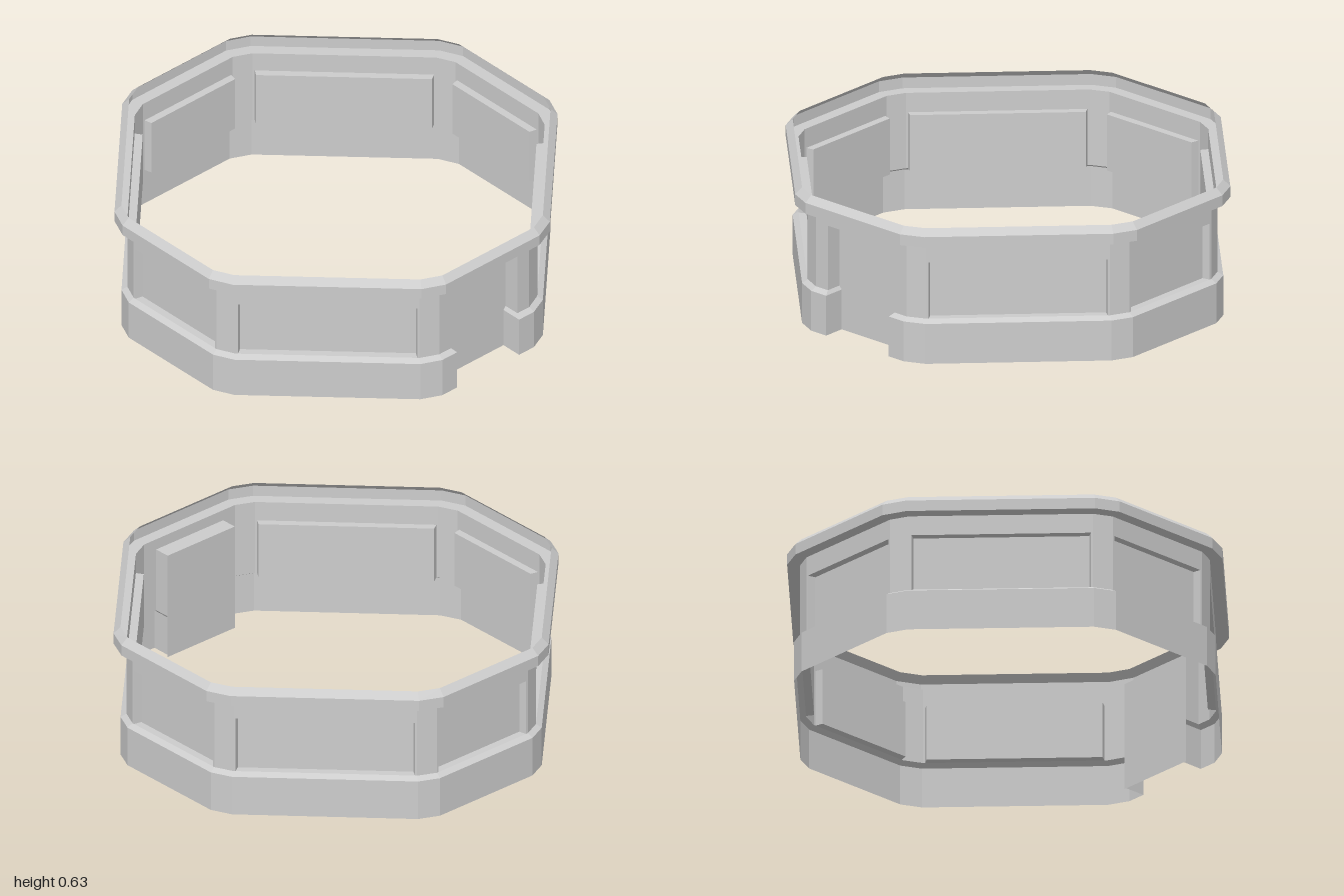
import * as THREE from 'three';

const TAN = Math.tan(Math.PI / 16);
const SIDES = 8, DOOR = 2;      // the doorway is on the +x side
const WALL = 0.055;             // inset of the wall from the cornice edge
const WALL_BOTTOM = 0.2, WALL_TOP = 0.55;

// Straight sides alternate between short cardinal ones and long diagonal ones
const apothem = (k) => (k % 2 ? 0.941 : 1);
const half = (k, inset) => (k % 2 ? 0.408 : 0.275) - inset * TAN;

// Point on side k: u runs along the side, inset goes inward
function point(k, u, inset, y) {
  const a = (k * Math.PI) / 4, r = apothem(k) - inset;
  return [Math.sin(a) * r + Math.cos(a) * u, y, Math.cos(a) * r - Math.sin(a) * u];
}

function makeSheet(name, material) {
  const pos = [];
  const quad = (a, b, c, d) => pos.push(...a, ...b, ...c, ...a, ...c, ...d);
  const build = () => {
    const geometry = new THREE.BufferGeometry();
    geometry.setAttribute('position', new THREE.Float32BufferAttribute(pos, 3));
    geometry.computeVertexNormals();
    const mesh = new THREE.Mesh(geometry, material);
    mesh.name = name;
    return mesh;
  };
  return { quad, build };
}

// Sweep a profile of [inset, y] around the ring, leaving an optional door gap
function sweep(sheet, profile, gaps) {
  for (let i = 0; i + 1 < profile.length; i++) {
    const [d0, y0] = profile[i], [d1, y1] = profile[i + 1];
    for (let k = 0; k < SIDES; k++) {
      const h0 = half(k, d0), h1 = half(k, d1), n = (k + 1) % SIDES;
      const spans = gaps && k === DOOR
        ? [[-h0, -gaps[i], -gaps[i + 1], -h1], [gaps[i], h0, h1, gaps[i + 1]]]
        : [[-h0, h0, h1, -h1]];
      for (const [a, b, c, d] of spans) {
        sheet.quad(point(k, a, d0, y0), point(k, b, d0, y0), point(k, c, d1, y1), point(k, d, d1, y1));
      }
      // narrow corner facet to the next side
      sheet.quad(point(k, h0, d0, y0), point(n, -half(n, d0), d0, y0),
        point(n, -half(n, d1), d1, y1), point(k, h1, d1, y1));
    }
  }
}

export function createModel() {
  const group = new THREE.Group();
  const stone = new THREE.MeshStandardMaterial({ color: 0xcccccc, side: THREE.DoubleSide });
  stone.name = 'grey stone';

  // Plinth with a chamfered top, broken at the doorway
  const base = makeSheet('base', stone);
  const baseProfile = [[0.03, 0], [0.03, 0.185], [WALL, WALL_BOTTOM]];
  const doorGaps = [0.182, 0.182, 0.195];
  sweep(base, baseProfile, doorGaps);
  for (const s of [-1, 1]) {    // plinth returns into the doorway
    for (let i = 0; i < 2; i++) {
      const [d0, y0] = baseProfile[i], [d1, y1] = baseProfile[i + 1];
      const q = [point(DOOR, s * doorGaps[i], d0, y0), point(DOOR, s * doorGaps[i], 0.13, y0),
        point(DOOR, s * doorGaps[i + 1], 0.13, y1), point(DOOR, s * doorGaps[i + 1], d1, y1)];
      base.quad(...(s < 0 ? q : q.reverse()));
    }
  }
  group.add(base.build());

  // Overhanging cornice, open at the top
  const cornice = makeSheet('cornice', stone);
  sweep(cornice, [[WALL, WALL_TOP], [0, WALL_TOP], [0, 0.6], [0.03, 0.63]]);
  group.add(cornice.build());

  // Wall facets with openings, and the recessed windows and door behind them
  const wall = makeSheet('wall', stone);
  const windows = makeSheet('windowRecesses', stone);
  const door = makeSheet('doorRecess', stone);
  for (let k = 0; k < SIDES; k++) {
    const isDoor = k === DOOR, n = (k + 1) % SIDES, h = half(k, WALL);
    const w = isDoor ? 0.195 : k % 2 ? 0.388 : 0.254;
    const wi = isDoor ? w : w - 0.008;
    const top = isDoor ? 0.5 : 0.46;
    const back = isDoor ? 0.13 : 0.09;
    const face = (u0, u1, y0, y1) => wall.quad(point(k, u0, WALL, y0), point(k, u1, WALL, y0),
      point(k, u1, WALL, y1), point(k, u0, WALL, y1));
    face(-h, -w, WALL_BOTTOM, WALL_TOP);
    face(w, h, WALL_BOTTOM, WALL_TOP);
    face(-w, w, top, WALL_TOP);
    wall.quad(point(k, h, WALL, WALL_BOTTOM), point(n, -half(n, WALL), WALL, WALL_BOTTOM),
      point(n, -half(n, WALL), WALL, WALL_TOP), point(k, h, WALL, WALL_TOP));

    const recess = isDoor ? door : windows;
    const outer = (u, y) => point(k, u, WALL, y);
    const inner = (u, y) => point(k, u, back, y);
    const b = WALL_BOTTOM, floor = isDoor ? 0 : b;
    recess.quad(inner(-wi, floor), inner(wi, floor), inner(wi, top), inner(-wi, top));
    recess.quad(outer(-w, b), inner(-wi, b), inner(-wi, top), outer(-w, top));
    recess.quad(inner(wi, b), outer(w, b), outer(w, top), inner(wi, top));
    recess.quad(inner(-wi, top), inner(wi, top), outer(w, top), outer(-w, top));
    if (!isDoor) recess.quad(outer(-w, b), outer(w, b), inner(wi, b), inner(-wi, b));
  }
  group.add(wall.build(), windows.build(), door.build());
  return group;
}
